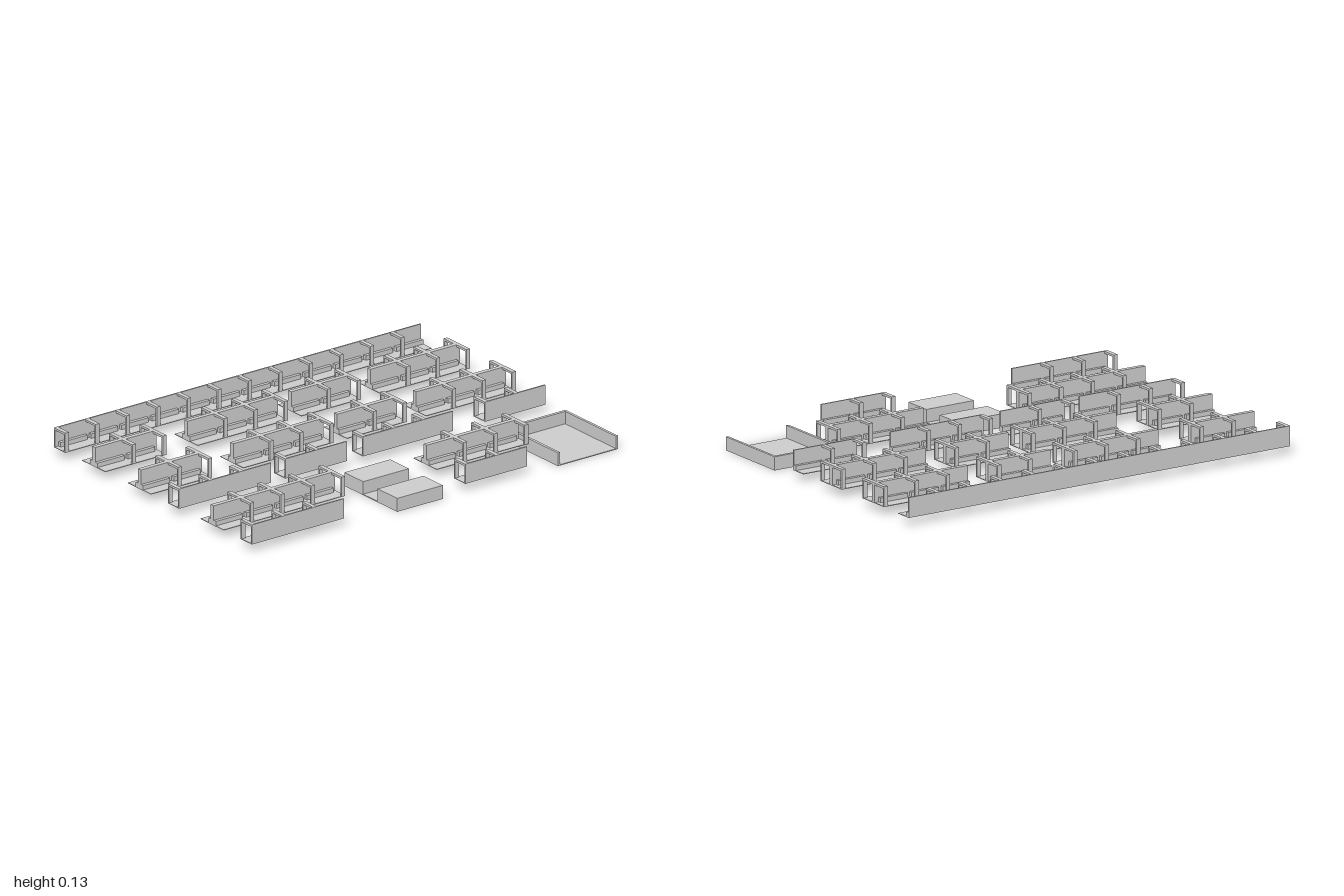
import * as THREE from 'three';

const material = new THREE.MeshStandardMaterial({ color: 0xcccccc, flatShading: true });
const BASE = 0.04, TOP = 0.13, LEDGE = 0.062;
const FRAME = 0.02, POST = 0.008, BEAM = 0.01;

// Box given by its lower and upper corners
function box(parent, name, x0, x1, y0, y1, z0, z1) {
  const mesh = new THREE.Mesh(new THREE.BoxGeometry(Math.abs(x1 - x0), y1 - y0, z1 - z0), material);
  mesh.position.set((x0 + x1) / 2, (y0 + y1) / 2, (z0 + z1) / 2);
  mesh.name = name;
  parent.add(mesh);
}

// One open side of a stall row: ledge along the wall, then a post and beam per bay.
// wallX is the wall face, edgeX the outer edge of the floor.
function stallSide(parent, wallX, edgeX, z0, z1, bays, frameAtFront) {
  const dir = Math.sign(edgeX - wallX);
  const pitch = (z1 - z0) / bays;
  for (let i = 0; i < bays; i++) {
    const start = z0 + i * pitch, end = start + pitch;
    const f0 = frameAtFront ? end - FRAME : start;
    box(parent, 'ledge', wallX, wallX + dir * 0.016, BASE, LEDGE,
      frameAtFront ? start : start + FRAME, frameAtFront ? end - FRAME : end);
    box(parent, 'post', edgeX, edgeX - dir * POST, BASE, TOP - BEAM, f0, f0 + FRAME);
    box(parent, 'beam', wallX, edgeX, TOP - BEAM, TOP, f0, f0 + FRAME);
  }
}

// Row open on one side, with its wall at wallX
function singleRow(wallX, edgeX, z0, z1, bays) {
  const row = new THREE.Group();
  row.name = 'singleStallRow';
  const inner = wallX + Math.sign(edgeX - wallX) * 0.007;
  box(row, 'floor', wallX, edgeX, BASE - 0.002, BASE + 0.001, z0, z1);
  box(row, 'wall', wallX, inner, BASE, TOP, z0, z1);
  stallSide(row, inner, edgeX, z0, z1, bays, true);
  return row;
}

// Row open on both sides of a central wall
function doubleRow(x, z0, z1, bays) {
  const row = new THREE.Group();
  row.name = 'doubleStallRow';
  box(row, 'floor', x - 0.083, x + 0.083, BASE - 0.002, BASE + 0.001, z0, z1);
  box(row, 'centreWall', x - 0.011, x + 0.011, BASE, TOP, z0, z1);
  for (const s of [-1, 1]) stallSide(row, x + s * 0.011, x + s * 0.083, z0, z1, bays, false);
  return row;
}

export function createModel() {
  const model = new THREE.Group();
  model.name = 'stallLayout';

  // Long row along one edge
  model.add(singleRow(-0.714, -0.632, -1, 1, 12));

  // Two matching columns of double rows
  for (const x of [-0.431, -0.103]) {
    for (const [z0, z1, bays] of [[-0.995, -0.505, 3], [-0.4, -0.073, 2], [0, 0.493, 3], [0.663, 0.997, 2]]) {
      model.add(doubleRow(x, z0, z1, bays));
    }
  }

  // Column of single rows
  for (const [z0, z1, bays] of [[-1, -0.67, 2], [-0.495, -0.005, 3], [0.083, 0.42, 2], [0.497, 1, 3]]) {
    model.add(singleRow(0.185, 0.104, z0, z1, bays));
  }

  // Rows beside the basin and platforms
  model.add(doubleRow(0.42, -0.665, -0.165, 3));
  model.add(doubleRow(0.42, 0.335, 0.998, 4));
  model.add(singleRow(0.708, 0.627, -0.502, -0.165, 2));
  model.add(singleRow(0.708, 0.627, 0.497, 1, 3));

  // Basin open towards +x
  const basin = new THREE.Group();
  basin.name = 'basin';
  box(basin, 'basinFloor', 0.333, 0.712, 0, 0.004, -0.997, -0.667);
  box(basin, 'basinSideWall', 0.333, 0.348, 0, 0.062, -0.997, -0.667);
  box(basin, 'basinBackWall', 0.348, 0.712, 0, 0.062, -0.997, -0.985);
  box(basin, 'basinFrontWall', 0.348, 0.712, 0, 0.062, -0.68, -0.667);
  model.add(basin);

  // Two raised platforms on a shared slab
  const platforms = new THREE.Group();
  platforms.name = 'platforms';
  box(platforms, 'slab', 0.333, 0.712, 0, 0.004, -0.04, 0.21);
  box(platforms, 'platform', 0.333, 0.468, 0, 0.063, -0.04, 0.21);
  box(platforms, 'platform', 0.572, 0.712, 0, 0.063, -0.04, 0.21);
  model.add(platforms);

  return model;
}
